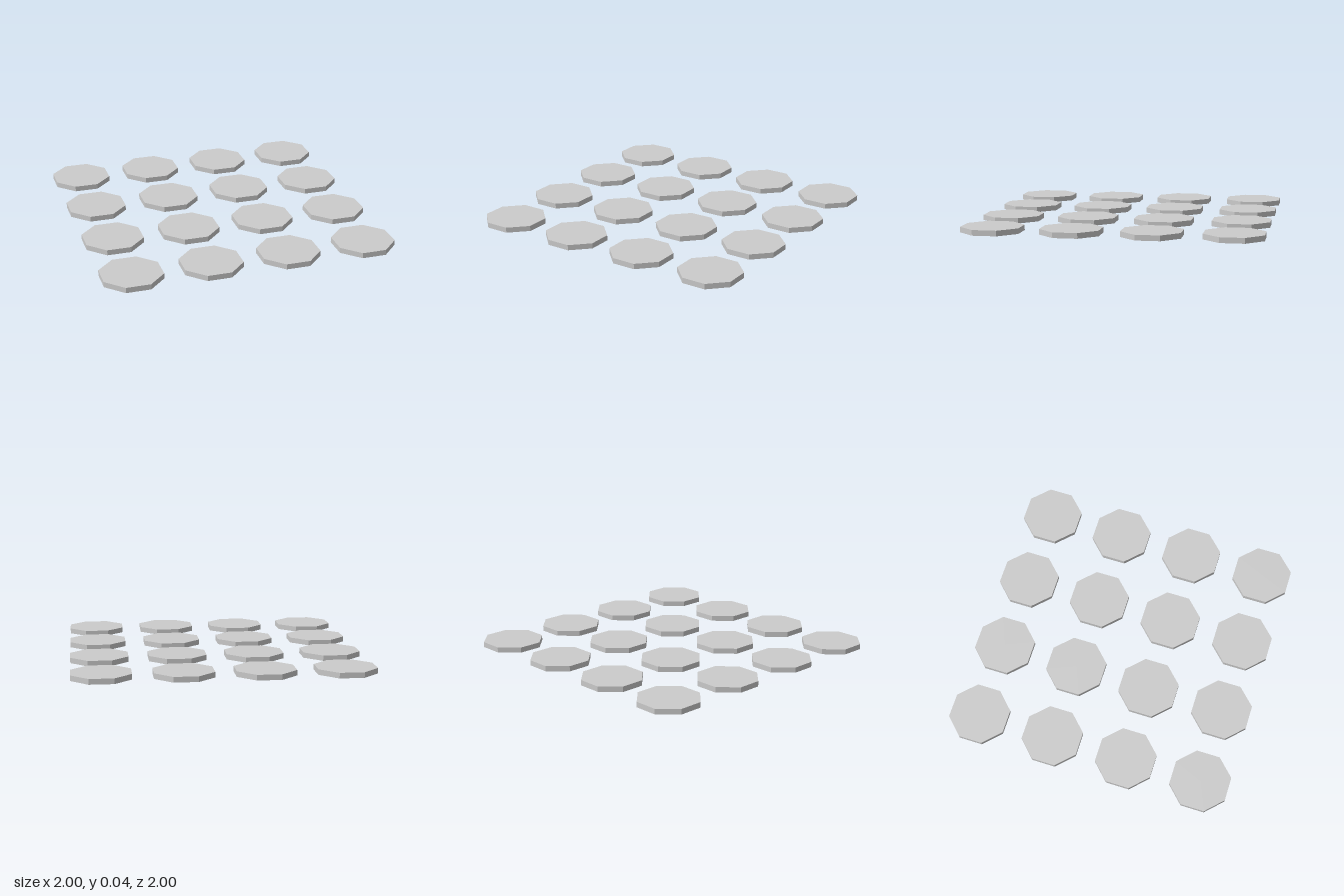
import * as THREE from 'three';

const RADIUS = 0.214;   // corner radius of each octagon
const HEIGHT = 0.037;
const SPACING = 0.535;  // distance between tile centres
const COUNT = 4;        // tiles per row and column

export function createModel() {
  const model = new THREE.Group();
  model.name = 'octagonTileGrid';

  const material = new THREE.MeshStandardMaterial({ color: 0xcccccc, flatShading: true });

  // Octagonal slab turned so that flat sides face the axes, resting on the ground
  const slab = new THREE.CylinderGeometry(RADIUS, RADIUS, HEIGHT, 8);
  slab.rotateY(Math.PI / 8);
  slab.translate(0, HEIGHT / 2, 0);

  // Square grid of separate tiles
  const offset = (COUNT - 1) / 2;
  for (let row = 0; row < COUNT; row++) {
    for (let column = 0; column < COUNT; column++) {
      const tile = new THREE.Mesh(slab, material);
      tile.name = `tileRow${row + 1}Column${column + 1}`;
      tile.position.set((column - offset) * SPACING, 0, (row - offset) * SPACING);
      model.add(tile);
    }
  }
  return model;
}
